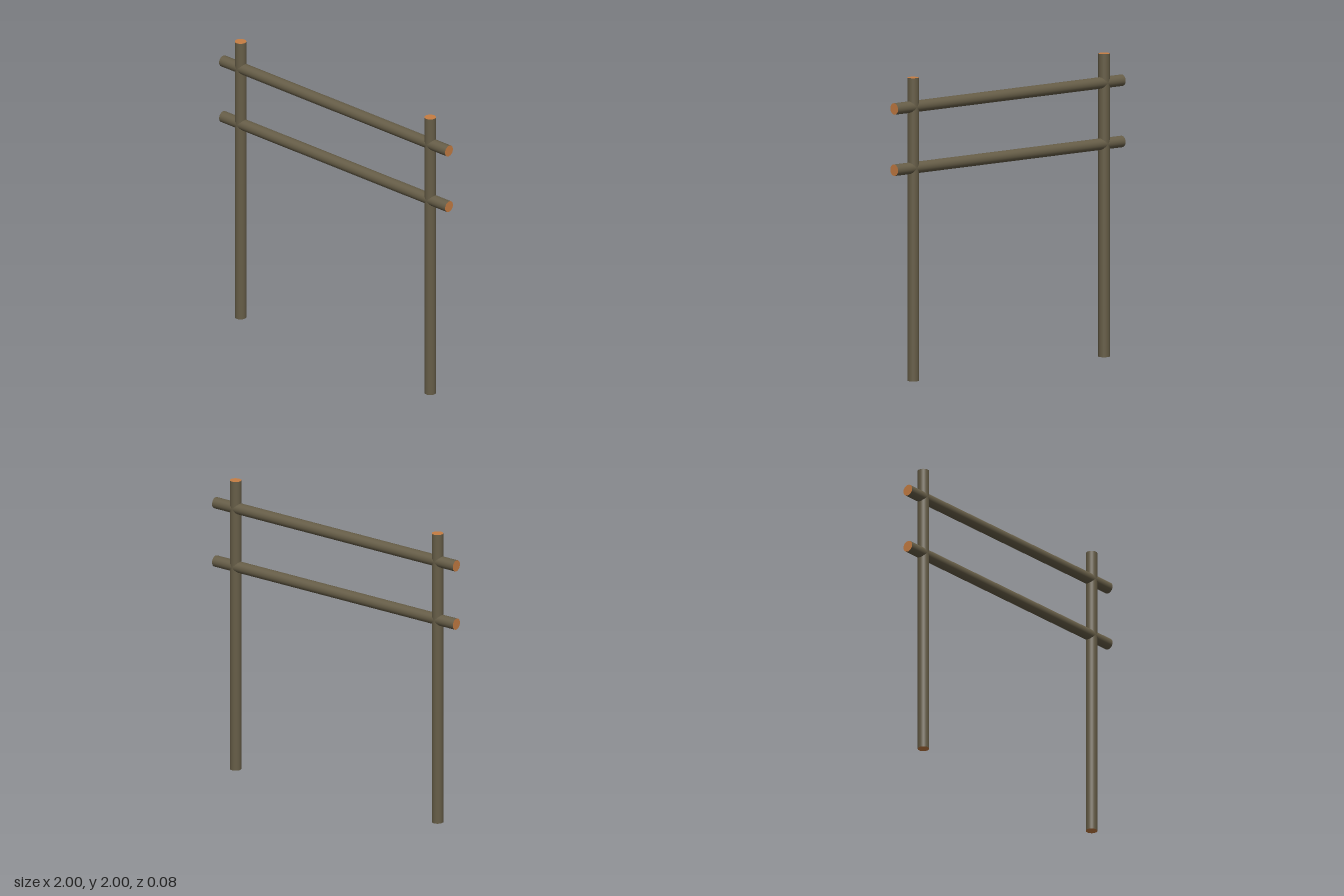
import * as THREE from 'three';

const RADIUS = 0.038;

export function createModel() {
  const group = new THREE.Group();
  const bark = new THREE.MeshStandardMaterial({ color: 0x665d47 });
  bark.name = 'bark';
  const cutWood = new THREE.MeshStandardMaterial({ color: 0xc67d43 });
  cutWood.name = 'cutWood';

  // Round log: bark on the side, cut wood on both ends
  const logGeometry = new THREE.CylinderGeometry(RADIUS, RADIUS, 2, 24);
  function addLog(name, x, y) {
    const log = new THREE.Mesh(logGeometry, [bark, cutWood, cutWood]);
    log.name = name;
    log.position.set(x, y, 0);
    group.add(log);
    return log;
  }

  // Upright posts
  addLog('rightPost', -0.844, 1);
  addLog('leftPost', 0.834, 1);

  // Horizontal rails passing through the posts
  addLog('upperRail', 0, 1.808).rotation.z = Math.PI / 2;
  addLog('lowerRail', 0, 1.404).rotation.z = Math.PI / 2;

  return group;
}
